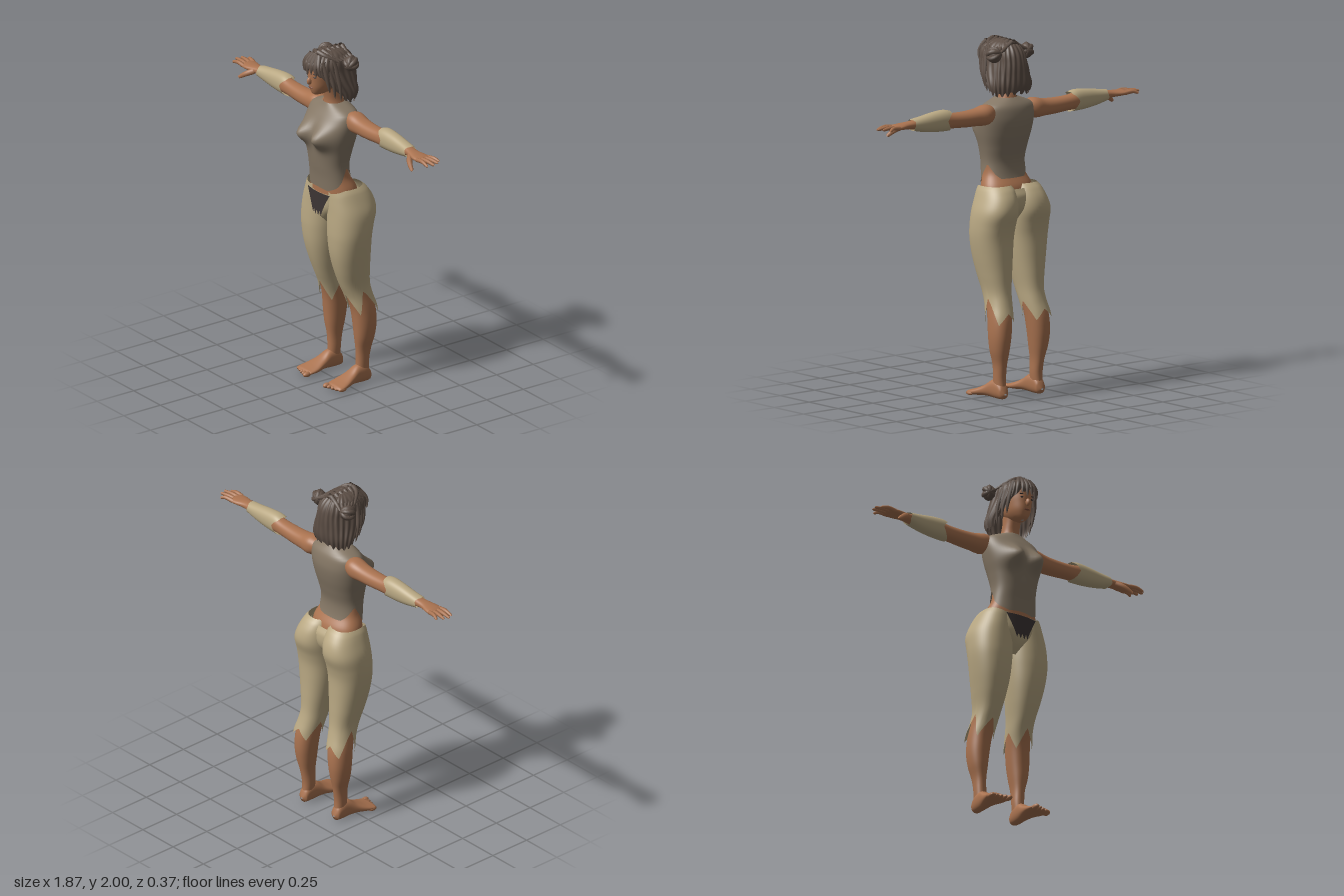
import * as THREE from 'three';

const paint = (name, color, side = THREE.FrontSide) => {
  const m = new THREE.MeshStandardMaterial({ color, side });
  m.name = name;
  return m;
};

// Smooth interpolation between cross-section rows [t, aMin, aMax, bMin, bMax]
function sample(rows, t) {
  const last = rows.length - 1;
  let i = 0;
  while (i < last - 1 && t > rows[i + 1][0]) i++;
  const p = rows[i], q = rows[i + 1], h = q[0] - p[0];
  const u = Math.min(1, Math.max(0, (t - p[0]) / h));
  const slope = (k, c) => {
    const lo = rows[Math.max(0, k - 1)], hi = rows[Math.min(last, k + 1)];
    return (hi[c] - lo[c]) / (hi[0] - lo[0]) * h;
  };
  const u2 = u * u, u3 = u2 * u;
  return [1, 2, 3, 4].map(c => (2 * u3 - 3 * u2 + 1) * p[c] + (u3 - 2 * u2 + u) * slope(i, c)
    + (3 * u2 - 2 * u3) * q[c] + (u3 - u2) * slope(i + 1, c));
}

// Piecewise-linear edge height over the angle from the front, same on both sides
const zig = pts => a => {
  const b = a > Math.PI ? 2 * Math.PI - a : a;
  let i = 0;
  while (i < pts.length - 2 && b > pts[i + 1][0]) i++;
  const [p, q] = [pts[i], pts[i + 1]];
  return p[1] + (q[1] - p[1]) * Math.min(1, Math.max(0, (b - p[0]) / (q[0] - p[0])));
};

// Closed tube of rounded sections; lo and hi trim its ends, warp reshapes points
function loft(rows, { lo, hi, axis = 'y', n = 48, m = 28, warp } = {}) {
  const pos = [], idx = [];
  const soft = v => Math.sign(v) * Math.abs(v) ** 0.88;
  for (let j = 0; j <= m; j++) for (let i = 0; i < n; i++) {
    const a = i / n * Math.PI * 2;
    const t0 = lo ? lo(a) : rows[0][0], t1 = hi ? hi(a) : rows[rows.length - 1][0];
    const t = t0 + (t1 - t0) * j / m;
    const [x0, x1, z0, z1] = sample(rows, t);
    const p = new THREE.Vector3((x0 + x1) / 2 + (x1 - x0) / 2 * soft(Math.sin(a)), t,
      (z0 + z1) / 2 + (z1 - z0) / 2 * soft(Math.cos(a)));
    if (warp) warp(p, a);
    if (axis === 'x') pos.push(p.y, p.z, p.x);
    else if (axis === 'z') pos.push(p.z, p.x, p.y);
    else pos.push(p.x, p.y, p.z);
    if (j < m) {
      const k = j * n + i, r = j * n + (i + 1) % n;
      idx.push(k, r, r + n, k, r + n, k + n);
    }
  }
  const g = new THREE.BufferGeometry();
  g.setAttribute('position', new THREE.Float32BufferAttribute(pos, 3));
  g.setIndex(idx);
  g.computeVertexNormals();
  return g;
}

// Tapering strand or finger along a curve
function strand(points, r, tip = 0.1, flat = 1) {
  const curve = new THREE.CatmullRomCurve3(points.map(p => new THREE.Vector3(...p)));
  const N = 12, S = 8, g = new THREE.TubeGeometry(curve, N, r, S), P = g.attributes.position;
  for (let i = 0; i <= N; i++) {
    const c = curve.getPointAt(i / N), k = i === N ? 0.02 : 1 - (1 - tip) * (i / N) ** 2;
    for (let j = 0; j <= S; j++) {
      const v = i * (S + 1) + j;
      P.setXYZ(v, c.x + (P.getX(v) - c.x) * k, c.y + (P.getY(v) - c.y) * k, c.z + (P.getZ(v) - c.z) * k * flat);
    }
  }
  return g;
}

const blob = (x, y, z, rx, ry, rz) => new THREE.SphereGeometry(1, 20, 14).scale(rx, ry, rz).translate(x, y, z);

function mirrored(g) {
  const c = g.clone().scale(-1, 1, 1), ix = c.index.array;
  for (let i = 0; i < ix.length; i += 3) [ix[i], ix[i + 1]] = [ix[i + 1], ix[i]];
  return c;
}

export function createModel() {
  const model = new THREE.Group();
  const skin = paint('skin', 0xaa7350), hair = paint('hair', 0x5c4e45, THREE.DoubleSide);
  const shirt = paint('shirt', 0x857765, THREE.DoubleSide), cloth = paint('paleCloth', 0xb9a883, THREE.DoubleSide);
  const dark = paint('darkCloth', 0x3c3534, THREE.DoubleSide), lip = paint('lips', 0x80503c);
  const add = (name, g, mat) => {
    const mesh = new THREE.Mesh(g, mat);
    mesh.name = name;
    model.add(mesh);
  };
  const pair = (name, g, mat) => { add(name + 'Left', g, mat); add(name + 'Right', mirrored(g), mat); };
  const sym = rows => rows.map(([y, w, b, f]) => [y, -w, w, b, f]);
  const H = Math.PI / 2;

  // Torso: ragged sleeveless top over a bare midriff
  add('top', loft(sym([[1.17, .15, -.088, .106], [1.25, .138, -.066, .114], [1.32, .133, -.062, .125],
    [1.4, .145, -.08, .135], [1.48, .163, -.1, .138], [1.55, .174, -.11, .13], [1.6, .174, -.106, .105],
    [1.635, .16, -.096, .082], [1.657, .115, -.08, .068], [1.677, .06, -.06, .058]]), {
    m: 40, n: 64,
    lo: zig([[0, 1.182], [.5, 1.176], [1, 1.2], [1.35, 1.23], [1.8, 1.31], [2.3, 1.25], [2.8, 1.21], [Math.PI, 1.22]]),
    warp: p => {
      if (p.z > 0) p.z += .068 * Math.min(1, p.z / .06)
        * Math.exp(-(((Math.abs(p.x) - .075) / .056) ** 2) - ((p.y - 1.495) / .056) ** 2);
    }
  }), shirt);
  add('midriff', loft(sym([[1.1, .165, -.11, .098], [1.18, .158, -.098, .098], [1.25, .131, -.06, .105],
    [1.32, .125, -.052, .115], [1.4, .12, -.06, .11]])), skin);
  add('neck', loft(sym([[1.61, .075, -.07, .06], [1.68, .052, -.055, .052], [1.73, .046, -.04, .06], [1.79, .046, -.035, .08]])), skin);

  // Trousers: hip core, legs with pointed cuffs, dark front panel
  add('hips', loft(sym([[.95, .02, -.05, .04], [1, .06, -.09, .085], [1.06, .13, -.13, .108],
    [1.13, .16, -.135, .109], [1.172, .164, -.115, .104]]), { hi: zig([[0, 1.15], [.6, 1.155], [1.3, 1.172], [Math.PI, 1.172]]) }), cloth);
  pair('trouserLeg', loft([[.42, .062, .211, -.188, -.03], [.47, .06, .205, -.18, -.018], [.53, .053, .192, -.162, 0],
    [.6, .046, .187, -.147, .03], [.7, .03, .205, -.142, .066], [.8, .016, .224, -.14, .09], [.9, .006, .238, -.142, .1],
    [.97, 0, .24, -.155, .1], [1.05, -.002, .232, -.178, .097], [1.12, .002, .207, -.167, .094],
    [1.18, .008, .18, -.13, .088], [1.195, .02, .166, -.11, .075]], {
    m: 44,
    lo: a => .43 + [.115, .14, .06, .1][Math.round(a / H) % 4] * Math.abs(Math.abs(((a / H) % 1) - .5) * 2),
    hi: zig([[0, 1.165], [1, 1.19], [Math.PI, 1.195]])
  }), cloth);
  const panel = new THREE.PlaneGeometry(1, 1, 16, 16), P = panel.attributes.position;
  for (let i = 0; i < P.count; i++) {
    const u = P.getX(i) * 2, v = P.getY(i) + .5;
    const x = u * (.036 + .066 * v ** 1.2);
    P.setXYZ(i, x, 1.03 + .125 * v + (1 - v) * .014 * Math.cos(u * 9), .115 - 1.3 * x * x);
  }
  panel.computeVertexNormals();
  add('frontPanel', panel, dark);

  // Bare lower legs and feet
  pair('lowerLeg', loft([[.05, .105, .16, -.14, -.06], [.12, .1, .163, -.138, -.062], [.2, .1, .168, -.15, -.06],
    [.28, .09, .188, -.168, -.05], [.36, .08, .197, -.178, -.043], [.45, .07, .194, -.174, -.032],
    [.54, .06, .183, -.152, -.008], [.62, .055, .178, -.138, .018]]), skin);
  pair('foot', loft([[-.152, .03, .04, .125, .14], [-.145, .012, .07, .106, .158], [-.11, .006, .11, .1, .166],
    [-.06, .008, .112, .096, .17], [-.01, .012, .08, .088, .182], [.04, .009, .056, .077, .198],
    [.08, .008, .042, .077, .206], [.105, .012, .034, .085, .2], [.112, .02, .024, .11, .17]], { axis: 'z' }), skin);
  for (let i = 0; i < 5; i++)
    pair('toe' + (i + 1), blob(.094 + i * .0255, .02, .113 - .008 * i, i ? .012 : .016, i ? .012 : .015, .026), skin);

  // Arms with forearm wraps
  pair('arm', loft([[.11, -.06, .02, 1.57, 1.635], [.17, -.083, .033, 1.54, 1.652], [.24, -.076, .028, 1.541, 1.638],
    [.32, -.071, .025, 1.543, 1.632], [.42, -.066, .02, 1.549, 1.634], [.5, -.064, .018, 1.549, 1.645],
    [.6, -.058, .015, 1.557, 1.639], [.7, -.048, .015, 1.578, 1.624], [.74, -.048, .022, 1.581, 1.62],
    [.79, -.06, .032, 1.584, 1.616], [.83, -.06, .026, 1.588, 1.613], [.845, -.045, .012, 1.596, 1.605]], { axis: 'x', m: 40 }), skin);
  pair('forearmWrap', loft([[.42, -.071, .026, 1.541, 1.648], [.47, -.071, .026, 1.54, 1.659], [.55, -.067, .023, 1.544, 1.654],
    [.63, -.061, .02, 1.555, 1.642], [.71, -.054, .021, 1.572, 1.63]], {
    axis: 'x', lo: zig([[0, .43], [.7, .435], [H, .475], [2.3, .45], [Math.PI, .425]]),
    hi: zig([[0, .705], [1, .69], [2, .7], [Math.PI, .685]])
  }), cloth);
  [[-.05, -.072, .895, 1.594], [-.027, -.042, .925, 1.601], [-.002, -.01, .934, 1.599], [.02, .022, .915, 1.592]].forEach(([z0, z1, x, y], i) =>
    pair('finger' + (i + 1), strand([[.81, 1.6, z0], [.865, 1.605, (z0 + z1) / 2], [x, y, z1]], .0125, .55), skin));
  pair('thumb', strand([[.73, 1.596, .008], [.765, 1.575, .038], [.815, 1.54, .056]], .017, .5), skin);

  // Head and face
  add('head', loft(sym([[1.738, .008, .1, .125], [1.744, .025, .06, .138], [1.76, .042, .01, .147], [1.79, .058, -.03, .156],
    [1.83, .067, -.055, .16], [1.87, .072, -.07, .163], [1.92, .072, -.075, .16], [1.96, .05, -.05, .12], [1.98, .01, 0, .05]])), skin);
  add('nose', blob(0, 1.829, .163, .012, .022, .018), skin);
  add('mouth', blob(0, 1.789, .155, .02, .006, .006), lip);
  pair('eye', blob(.029, 1.857, .152, .014, .006, .005), dark);
  pair('brow', blob(.031, 1.876, .152, .018, .003, .006).rotateZ(0), dark);
  pair('ear', blob(.076, 1.845, .035, .012, .026, .016), skin);

  // Ridged bob with an open face
  add('bob', loft(sym([[1.69, .118, -.1, .04], [1.75, .13, -.118, .07], [1.82, .119, -.12, .13], [1.88, .106, -.117, .166],
    [1.93, .098, -.105, .172], [1.97, .074, -.075, .135], [1.992, .04, -.03, .085], [1.998, .004, .02, .03]]), {
    n: 144, m: 26,
    lo: a => zig([[0, 1.9], [.5, 1.89], [.75, 1.83], [1, 1.74], [1.4, 1.705], [2.2, 1.7], [Math.PI, 1.71]])(a) + .012 * Math.cos(a * 18),
    warp: (p, a) => {
      const k = 1 + .028 * Math.cos(a * 24) + .015 * Math.cos(a * 10 + p.y * 30);
      p.x *= k;
      p.z = .03 + (p.z - .03) * k;
    }
  }), hair);
  [-.06, -.034, -.008, .02, .048, .066].forEach((x, i) => add('fringe' + (i + 1),
    strand([[x * .5, 1.975, .125], [x * .95, 1.925, .168 - 4 * x * x], [x * 1.15, 1.862 + .012 * (i % 2), .172 - 6 * x * x]], .02, .15, .6), hair));
  [[.09, .1, .072, 1.73], [.104, .112, .04, 1.712], [.085, .088, .098, 1.765]].forEach(([x0, x1, z, y], i) => pair('sideLock' + (i + 1),
    strand([[x0 * .75, 1.95, z + .02], [x0, 1.87, z + .012], [x1 * 1.05, 1.8, z], [x1, y, z - .01]], .016, .2), hair));
  for (let i = 0; i < 6; i++) pair('crownStrand' + (i + 1),
    strand([[.004, 1.99, .11 - i * .033], [.045, 1.978 - .003 * i, .095 - i * .03], [.098, 1.94, .03 - i * .02]], .014, .5), hair);

  // Coiled side buns
  pair('bun', blob(.116, 1.925, -.035, .036, .043, .04), hair);
  [0, 1, 2].forEach(i => pair('bunCoil' + (i + 1), new THREE.TorusGeometry(.032, .014, 8, 20)
    .rotateY(H + .5 - i * .5).rotateZ(i * 1.05).translate(.118, 1.926, -.035), hair));
  return model;
}
